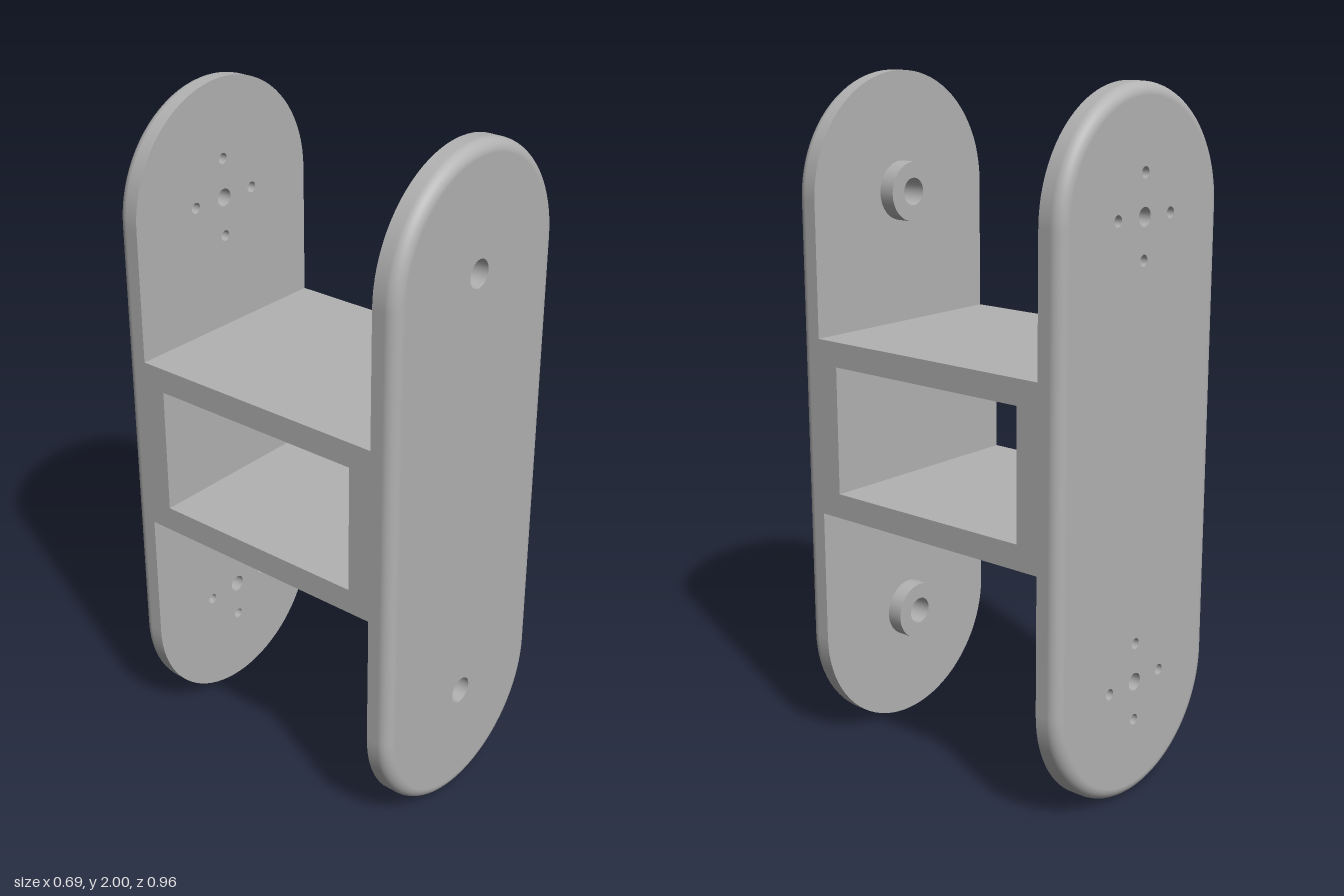
import * as THREE from 'three';
import { mergeGeometries } from 'three/addons/utils/BufferGeometryUtils.js';

const R = 0.346;          // plate end radius
const T = 0.073;          // plate thickness
const FILLET = 0.035;     // rounding of the outer plate edge
const INNER = 0.405;      // z of the inner plate faces
const ENDS = [R, 2 - R];  // heights of the end centres
const SEG = 40;

// Stadium outline with its direction angles, inset by d
function outline(d) {
  const pts = [];
  for (const [cy, start] of [[ENDS[1], 0], [ENDS[0], Math.PI]]) {
    for (let i = 0; i <= SEG; i++) {
      const a = start + (Math.PI * i) / SEG;
      pts.push({ x: (R - d) * Math.cos(a), y: cy + (R - d) * Math.sin(a), a });
    }
  }
  return pts;
}

// Flat plate face pierced by round holes
function face(d, holes, z, flip) {
  const shape = new THREE.Shape(outline(d).map(p => new THREE.Vector2(p.x, p.y)));
  for (const h of holes) {
    shape.holes.push(new THREE.Path().absarc(h.x, h.y, h.r, 0, Math.PI * 2, true));
  }
  const g = new THREE.ShapeGeometry(shape, 16);
  if (flip) g.rotateY(Math.PI);
  return g.translate(0, 0, z);
}

// Plate rim: straight wall followed by a quarter-round fillet
function rim() {
  const pos = [], nor = [], idx = [];
  const rings = [{ d: 0, z: 0, b: 0 }];
  for (let i = 0; i <= 8; i++) {
    const b = (Math.PI / 2) * (i / 8);
    rings.push({ d: FILLET * (1 - Math.cos(b)), z: T - FILLET + FILLET * Math.sin(b), b });
  }
  const n = 2 * (SEG + 1);
  rings.forEach((ring, k) => {
    outline(ring.d).forEach((p, i) => {
      const c = Math.cos(ring.b);
      pos.push(p.x, p.y, ring.z);
      nor.push(Math.cos(p.a) * c, Math.sin(p.a) * c, Math.sin(ring.b));
      if (k === 0) return;
      const j = (i + 1) % n, lo = (k - 1) * n, hi = k * n;
      idx.push(lo + i, lo + j, hi + j, lo + i, hi + j, hi + i);
    });
  });
  const g = new THREE.BufferGeometry();
  g.setAttribute('position', new THREE.Float32BufferAttribute(pos, 3));
  g.setAttribute('normal', new THREE.Float32BufferAttribute(nor, 3));
  return g.setIndex(idx);
}

// Revolved band about a z axis between two [radius, z] points
function band(x, y, from, to) {
  const pts = [new THREE.Vector2(...from), new THREE.Vector2(...to)];
  return new THREE.LatheGeometry(pts, 32).rotateX(Math.PI / 2).translate(x, y, 0);
}

function merge(parts) {
  parts.forEach(g => g.deleteAttribute('uv'));
  return mergeGeometries(parts);
}

function plate(holes) {
  return merge([
    rim(),
    face(FILLET, holes, T, false),
    face(0, holes, 0, true),
    ...holes.map(h => band(h.x, h.y, [h.r, T], [h.r, 0])),
  ]);
}

export function createModel() {
  const model = new THREE.Group();
  model.name = 'doublePlateBracket';
  const grey = new THREE.MeshStandardMaterial({ color: 0xb2b2b2 });
  grey.name = 'grey';
  const add = (geometry, name) => {
    const mesh = new THREE.Mesh(geometry, grey);
    mesh.name = name;
    model.add(mesh);
    return mesh;
  };

  // Front plate with one bore at each end
  const bore = 0.04;
  add(plate(ENDS.map(y => ({ x: 0, y, r: bore }))), 'frontPlate').position.z = INNER;

  // Hollow bosses behind the front plate bores
  const bossR = 0.087, bossH = 0.05;
  ENDS.forEach((y, i) => {
    const profile = [[bore, 0], [bore, -bossH], [bossR, -bossH], [bossR, 0]];
    const boss = merge([0, 1, 2].map(k => band(0, y, profile[k], profile[k + 1])));
    add(boss, i ? 'upperBoss' : 'lowerBoss').position.z = INNER;
  });

  // Back plate with a centre hole and four screw holes at each end
  const offset = 0.115, screw = 0.016;
  const pattern = ENDS.flatMap(y => [
    { x: 0, y, r: 0.026 },
    ...[[1, 0], [-1, 0], [0, 1], [0, -1]].map(([u, v]) => (
      { x: u * offset, y: y + v * offset, r: screw })),
  ]);
  const back = add(plate(pattern), 'backPlate');
  back.rotation.y = Math.PI;
  back.position.z = -INNER;

  // Rectangular tube joining the plates, open at both sides
  const rect = (Shape, w, y0, y1) => new Shape([[-w, y0], [w, y0], [w, y1], [-w, y1]]
    .map(p => new THREE.Vector2(...p)));
  const section = rect(THREE.Shape, INNER, 0.74, 1.263);
  section.holes.push(rect(THREE.Path, 0.336, 0.813, 1.19));
  const tube = new THREE.ExtrudeGeometry(section, { depth: 2 * R, bevelEnabled: false });
  add(tube.translate(0, 0, -R).rotateY(Math.PI / 2), 'connectingTube');

  return model;
}
